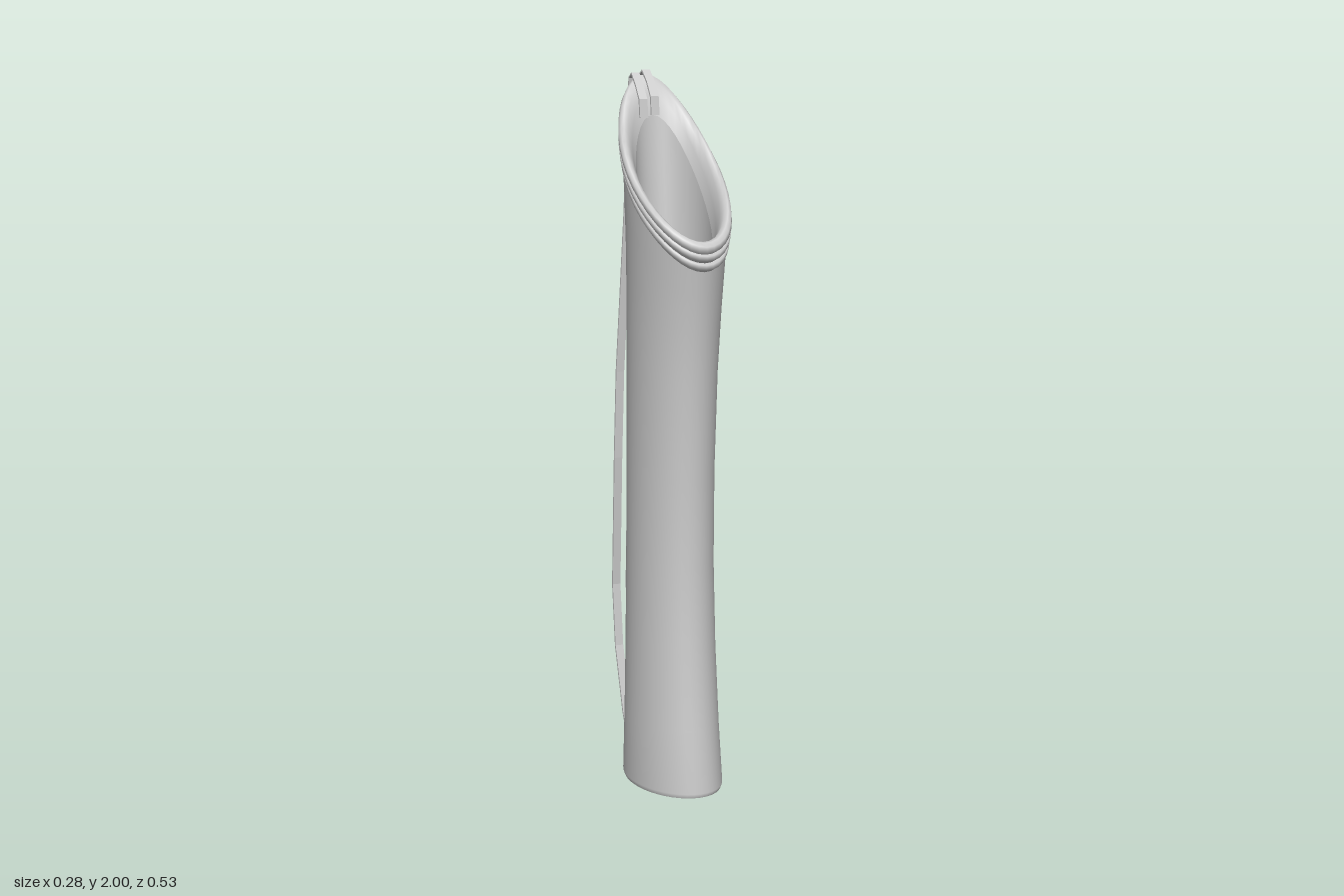
import * as THREE from 'three';

const SIDES = 40;
const material = new THREE.MeshStandardMaterial({ color: 0xcccccc, side: THREE.DoubleSide });
const strapMaterial = new THREE.MeshStandardMaterial({ color: 0xcccccc, side: THREE.DoubleSide, flatShading: true });

// Extra height of the slanted mouth, u = 0 at the front and 1 at the back
const rise = (u) => 0.4 * u - 0.09 * u * u + 0.13 * u * u * u;

// Rings are [height at front, slant 0..1, half width, front z, back z]
function loft(name, rings) {
  const pos = [], index = [];
  rings.forEach(([y, slant, w, zf, zb]) => {
    for (let i = 0; i < SIDES; i++) {
      const t = (i / SIDES) * Math.PI * 2, c = Math.cos(t);
      pos.push(w * Math.sin(t), y + slant * rise((1 - c) / 2), (zf + zb) / 2 + ((zf - zb) / 2) * c);
    }
  });
  for (let j = 0; j < rings.length - 1; j++) {
    for (let i = 0; i < SIDES; i++) {
      const a = j * SIDES + i, b = j * SIDES + ((i + 1) % SIDES);
      index.push(a, b, a + SIDES, b, b + SIDES, a + SIDES);
    }
  }
  const geo = new THREE.BufferGeometry();
  geo.setAttribute('position', new THREE.Float32BufferAttribute(pos, 3));
  geo.setIndex(index);
  geo.computeVertexNormals();
  const mesh = new THREE.Mesh(geo, material);
  mesh.name = name;
  return mesh;
}

// Flat band following [x, y, z] points, bending in the yz plane
function ribbon(name, points, width, thickness) {
  const pos = [], index = [], n = points.length;
  points.forEach(([x, y, z], i) => {
    const p = points[Math.max(i - 1, 0)], q = points[Math.min(i + 1, n - 1)];
    const dy = q[1] - p[1], dz = q[2] - p[2], len = Math.hypot(dy, dz);
    const ny = (-dz / len) * thickness / 2, nz = (dy / len) * thickness / 2;
    for (const [s, k] of [[-1, -1], [1, -1], [1, 1], [-1, 1]]) {
      pos.push(x + (s * width) / 2, y + k * ny, z + k * nz);
    }
  });
  for (let j = 0; j < n - 1; j++) {
    for (let i = 0; i < 4; i++) {
      const a = j * 4 + i, b = j * 4 + ((i + 1) % 4);
      index.push(a, a + 4, b, b, a + 4, b + 4);
    }
  }
  const e = (n - 1) * 4;
  index.push(0, 1, 2, 0, 2, 3, e, e + 2, e + 1, e, e + 3, e + 2);
  const geo = new THREE.BufferGeometry();
  geo.setAttribute('position', new THREE.Float32BufferAttribute(pos, 3));
  geo.setIndex(index);
  geo.computeVertexNormals();
  const mesh = new THREE.Mesh(geo, strapMaterial);
  mesh.name = name;
  return mesh;
}

export function createModel() {
  const group = new THREE.Group();
  group.name = 'quiver';

  // Long waisted tube, turning from a level base to a slanted mouth
  group.add(loft('body', [
    [0.018, 0, 0.122, 0.231, -0.15],
    [0.03, 0, 0.126, 0.236, -0.155],
    [0.2, 0, 0.12, 0.216, -0.15],
    [0.42, 0, 0.115, 0.196, -0.145],
    [0.65, 0.05, 0.112, 0.185, -0.141],
    [0.9, 0.2, 0.112, 0.188, -0.137],
    [1.15, 0.45, 0.115, 0.202, -0.128],
    [1.3, 0.7, 0.12, 0.218, -0.124],
    [1.4, 0.9, 0.125, 0.233, -0.13],
    [1.48, 1, 0.129, 0.246, -0.142],
  ]));

  // Hollowed underside
  group.add(loft('base', [
    [0.04, 0, 0.001, 0.042, 0.04],
    [0.036, 0, 0.06, 0.135, -0.055],
    [0.022, 0, 0.095, 0.19, -0.11],
    [0.018, 0, 0.122, 0.231, -0.15],
  ]));

  // Binding below the lip: stacked ridges
  for (let i = 0; i < 2; i++) {
    const y = 1.466 + i * 0.024, d = i * 0.004;
    group.add(loft('rimBand', [
      [y, 1, 0.126 + d, 0.243 + d, -0.14 - d],
      [y + 0.005, 1, 0.134 + d, 0.256 + d, -0.149 - d],
      [y + 0.019, 1, 0.135 + d, 0.259 + d, -0.151 - d],
      [y + 0.024, 1, 0.128 + d, 0.246 + d, -0.142 - d],
    ]));
  }

  // Rolled lip
  group.add(loft('lip', [
    [1.512, 1, 0.132, 0.25, -0.146],
    [1.518, 1, 0.139, 0.264, -0.155],
    [1.533, 1, 0.138, 0.262, -0.156],
    [1.544, 1, 0.131, 0.25, -0.149],
    [1.546, 1, 0.122, 0.236, -0.139],
    [1.53, 1, 0.111, 0.219, -0.122],
    [1.49, 1, 0.102, 0.205, -0.104],
    [1.435, 1, 0.095, 0.195, -0.09],
  ]));

  // Inside of the mouth and its floor
  group.add(loft('innerWall', [
    [1.435, 1, 0.095, 0.195, -0.09],
    [1.35, 0.5, 0.088, 0.187, -0.066],
    [1.25, 0, 0.082, 0.18, -0.047],
  ]));
  group.add(loft('innerFloor', [
    [1.25, 0, 0.082, 0.18, -0.047],
    [1.25, 0, 0.001, 0.068, 0.066],
  ]));

  // Two carrying straps hooked over the back of the lip and under the base
  const path = [
    [0, 1.875, -0.074], [0, 1.925, -0.08], [0, 1.965, -0.106], [0, 1.996, -0.138],
    [0, 1.985, -0.156], [0, 1.9, -0.167], [0.001, 1.6, -0.19], [-0.003, 1.15, -0.222],
    [-0.006, 0.9, -0.231], [0.001, 0.52, -0.262], [-0.001, 0.34, -0.245],
    [-0.003, 0.15, -0.2], [-0.002, 0.03, -0.163], [0, 0.006, -0.148], [0, 0.004, -0.11], [0, 0.014, -0.08],
  ];
  const leftOffset = [0, 0, 0, 0.002, 0.003, 0.003, 0, -0.008, -0.008, -0.009, -0.006, 0, 0.006, 0.008, 0.008, 0.008];
  group.add(ribbon('leftStrap', path, 0.024, 0.006));
  group.add(ribbon('rightStrap', path.map(([x, y, z], i) => [
    x - 0.034 + leftOffset[i], y - (i < 5 ? 0.008 : 0), z,
  ]), 0.024, 0.006));

  return group;
}
